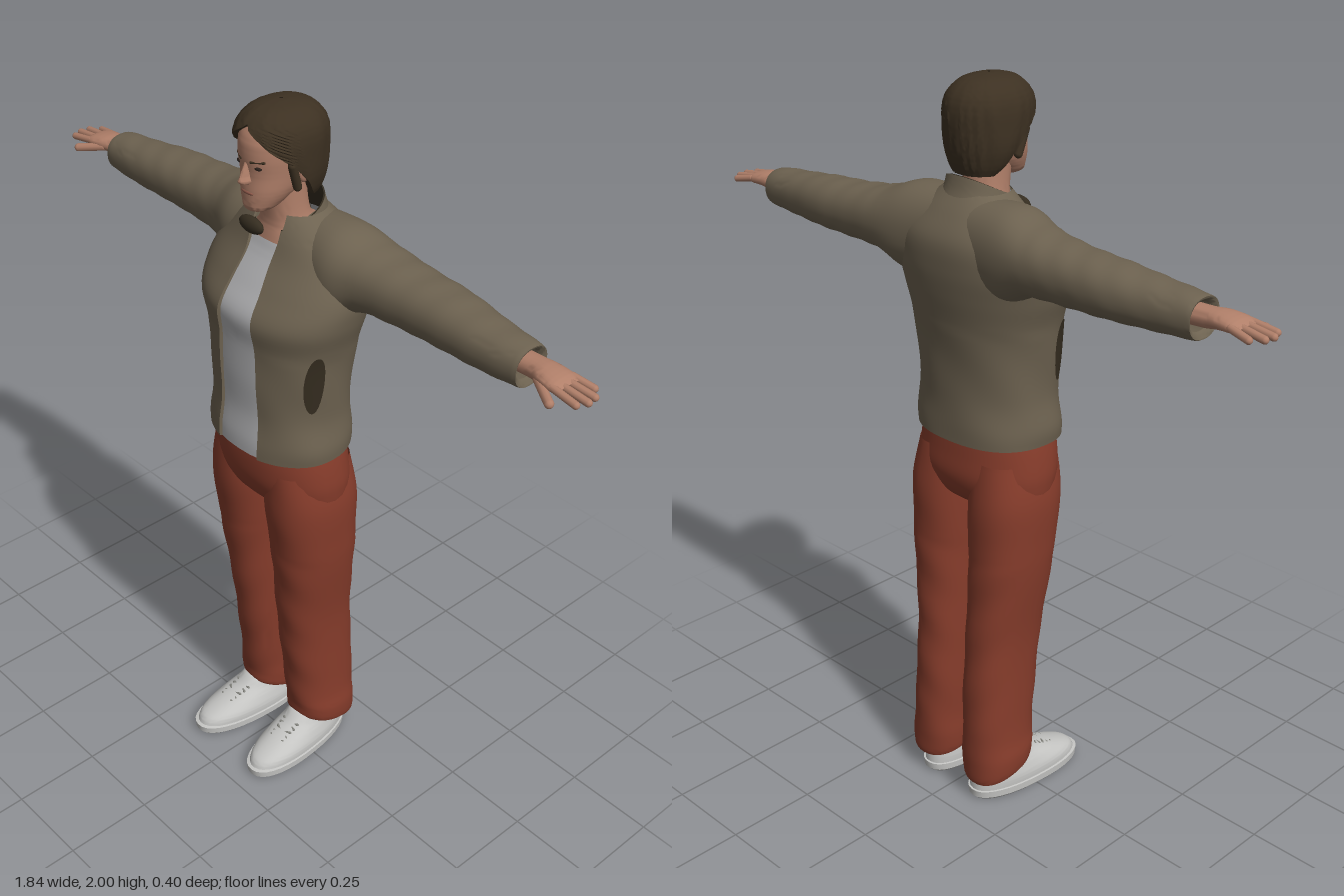
import * as THREE from 'three';
import { toCreasedNormals } from 'three/addons/utils/BufferGeometryUtils.js';

const mat = (name, color, double) => {
  const m = new THREE.MeshStandardMaterial({ color });
  m.name = name;
  if (double) m.side = THREE.DoubleSide;
  return m;
};

// Smooth sample of a key table at t; a key is [y, cx, cz, rx, rz, open, slant]
function sample(keys, t) {
  const last = keys.length - 1;
  const i = Math.min(Math.floor(t), last - 1), f = t - i;
  const k = n => keys[Math.max(0, Math.min(last, n))];
  return [0, 1, 2, 3, 4, 5, 6].map(c => {
    const [a, b, d, e] = [k(i - 1), k(i), k(i + 1), k(i + 2)].map(q => q[c] || 0);
    return b + 0.5 * f * (d - a + f * (2 * a - 5 * b + 4 * d - e + f * (3 * (b - d) + e - a)));
  });
}

// Point on the section; angle 0 is the front, rising towards +x
function onSection(s, a, scale = 1, p = 0.88) {
  const pw = v => Math.sign(v) * Math.abs(v) ** p;
  return [s[1] + s[3] * scale * pw(Math.sin(a)), s[0] + s[6] * Math.cos(a), s[2] + s[4] * scale * pw(Math.cos(a))];
}

// Skin through stacked sections; open ones leave a gap at the front with a turned-in edge
function loft(keys, { n = 36, steps = 6, p = 0.88, scale = 1, lip = 0.94, ripple = () => 0, crease = 0.9 } = {}) {
  const open = keys.some(k => k[5]), rows = (keys.length - 1) * steps, pos = [], idx = [];
  const cols = open ? n + 1 : n;
  for (let i = 0; i <= rows; i++) {
    const s = sample(keys, i / steps), o = Math.max(0, s[5]);
    for (let j = 0; j < cols; j++) {
      const jj = open ? (Math.max(1, Math.min(n - 1, j)) - 1) / (n - 2) : j / n;
      const a = o + (2 * Math.PI - 2 * o) * jj;
      const edge = open && (j === 0 || j === n) ? lip : 1;
      pos.push(...onSection(s, a, scale * edge * (1 + ripple(s[0], a)), p));
    }
  }
  for (let i = 0; i < rows; i++) for (let j = 0; j < n; j++) {
    const a = i * cols + j, b = i * cols + (j + 1) % cols, c = b + cols, d = a + cols;
    idx.push(a, b, d, b, c, d);
  }
  const g = new THREE.BufferGeometry();
  g.setAttribute('position', new THREE.Float32BufferAttribute(pos, 3));
  g.setIndex(idx);
  return toCreasedNormals(g, crease);
}

// Mirror a geometry across x and restore the winding
function mirror(g) {
  const m = g.index ? g.toNonIndexed() : g.clone();
  m.scale(-1, 1, 1);
  for (const name of ['position', 'normal']) {
    const at = m.attributes[name], v = new THREE.Vector3(), w = new THREE.Vector3();
    for (let i = 0; i < at.count; i += 3) {
      v.fromBufferAttribute(at, i + 1); w.fromBufferAttribute(at, i + 2);
      at.setXYZ(i + 1, w.x, w.y, w.z); at.setXYZ(i + 2, v.x, v.y, v.z);
    }
  }
  return m;
}

// Rounded bar between two points
function bar(a, b, r) {
  const A = new THREE.Vector3(...a), B = new THREE.Vector3(...b), d = B.clone().sub(A);
  const g = new THREE.CapsuleGeometry(r, d.length(), 5, 10);
  g.applyQuaternion(new THREE.Quaternion().setFromUnitVectors(new THREE.Vector3(0, 1, 0), d.normalize()));
  return g.translate(...A.add(B).multiplyScalar(0.5).toArray());
}

const ball = (x, y, z, rx, ry, rz) => new THREE.SphereGeometry(1, 20, 14).scale(rx, ry, rz).translate(x, y, z);

export function createModel() {
  const root = new THREE.Group();
  root.name = 'standingMan';
  const jacket = mat('jacketOlive', 0x6d6250, true), lining = mat('darkLining', 0x352d20, true);
  const shirt = mat('shirtGrey', 0xb2b2b4, true), pants = mat('trouserRust', 0x863c2b, true);
  const skin = mat('skin', 0xb07f69), hair = mat('hairBrown', 0x3d3122, true);
  const shoe = mat('shoeWhite', 0xc4c4c2), lace = mat('laceGrey', 0x85857f);
  const lips = mat('lips', 0x8f5a4b), eye = mat('eyeDark', 0x2a211c);
  const add = (name, g, m) => {
    const mesh = new THREE.Mesh(g, m);
    mesh.name = name;
    root.add(mesh);
  };
  const pair = (name, g, m) => { add(name + 'Left', g, m); add(name + 'Right', mirror(g), m); };

  // Jacket body, open down the front over the shirt
  const torso = [
    [1.08, 0, -0.02, 0.202, 0.155, 0.32], [1.12, 0, -0.02, 0.204, 0.154, 0.32],
    [1.2, 0, -0.022, 0.193, 0.148, 0.32], [1.3, 0, -0.022, 0.198, 0.152, 0.3],
    [1.4, 0, -0.027, 0.21, 0.158, 0.27], [1.48, 0, -0.03, 0.232, 0.168, 0.22],
    [1.55, 0, -0.053, 0.238, 0.152, 0.19], [1.62, 0, -0.073, 0.21, 0.128, 0.18],
    [1.68, 0, -0.068, 0.15, 0.1, 0.3], [1.725, 0, -0.06, 0.09, 0.072, 0.5]];
  add('jacketBody', loft(torso, { n: 56, ripple: (y, a) => y < 1.4 ? 0.006 * Math.sin(a * 5 + y * 30) : 0 }), jacket);
  add('shirt', loft(torso.slice(0, 8).map(k => k.slice(0, 5)).concat([[1.655, 0, -0.073, 0.16, 0.112]]), { scale: 0.955 }), shirt);

  // Collar, its lining and the folded flap
  const collar = [[1.65, 0, -0.06, 0.118, 0.103, 0.3, -0.02], [1.69, 0, -0.05, 0.096, 0.086, 0.42, -0.035],
    [1.725, 0, -0.045, 0.087, 0.08, 0.55, -0.04]];
  add('collar', loft(collar, { lip: 0.96 }), jacket);
  add('collarLining', loft(collar, { scale: 0.955, lip: 0.98 }), lining);
  add('collarFlap', ball(-0.047, 1.674, 0.034, 0.042, 0.022, 0.016), lining);

  // Side pockets laid on the jacket surface
  const pocket = new THREE.RingGeometry(0.001, 1, 28, 5), pp = pocket.attributes.position;
  for (let i = 0; i < pp.count; i++) {
    const s = sample(torso, 2 + (1.325 + pp.getY(i) * 0.085 - 1.2) / 0.1);
    pp.setXYZ(i, ...onSection(s, 1.2 + pp.getX(i) * 0.17, 1.018));
  }
  pocket.computeVertexNormals();
  pair('pocket', pocket, lining);

  // Sleeves, lofted upright then laid along x
  const sleeve = [[0.06, -1.6, -0.09, 0.115, 0.09], [0.17, -1.598, -0.088, 0.118, 0.105],
    [0.26, -1.603, -0.102, 0.084, 0.093], [0.38, -1.598, -0.107, 0.072, 0.083],
    [0.5, -1.595, -0.107, 0.067, 0.078], [0.62, -1.59, -0.1, 0.059, 0.067],
    [0.725, -1.588, -0.097, 0.052, 0.055], [0.738, -1.588, -0.097, 0.046, 0.05], [0.725, -1.588, -0.097, 0.034, 0.038]];
  pair('sleeve', loft(sleeve, { ripple: (x, a) => x > 0.25 ? 0.018 * Math.sin(x * 75 + a * 2) * Math.sin(a) : 0 })
    .rotateZ(-Math.PI / 2), jacket);

  // Hands: palm, four fingers and a thumb
  const palm = [[0.68, -1.592, -0.097, 0.025, 0.032], [0.75, -1.594, -0.097, 0.024, 0.031],
    [0.79, -1.597, -0.092, 0.021, 0.039], [0.83, -1.595, -0.09, 0.016, 0.043], [0.852, -1.593, -0.09, 0.006, 0.034]];
  pair('palm', loft(palm, { n: 20 }).rotateZ(-Math.PI / 2), skin);
  [[-0.125, -0.134, 0.885], [-0.102, -0.108, 0.908], [-0.079, -0.081, 0.912], [-0.057, -0.054, 0.9]].forEach(([z0, z1, x], i) => {
    pair('finger' + (i + 1), bar([0.83, 1.596, z0], [x, 1.586, z1], 0.0095), skin);
  });
  pair('thumb', bar([0.785, 1.59, -0.065], [0.85, 1.577, -0.027], 0.0115), skin);

  // Trousers: seat and two legs with sloping hems
  add('trouserSeat', loft([[0.87, 0, -0.035, 0.1, 0.05], [0.91, 0, -0.032, 0.19, 0.105], [0.97, 0, -0.028, 0.208, 0.132],
    [1.04, 0, -0.022, 0.203, 0.135], [1.12, 0, -0.02, 0.186, 0.13]]), pants);
  const leg = [[0.11, 0.1, -0.09, 0.06, 0.07, 0, 0.02], [0.09, 0.1, -0.09, 0.079, 0.097, 0, 0.028],
    [0.14, 0.1, -0.09, 0.085, 0.102, 0, 0.015], [0.2, 0.097, -0.086, 0.081, 0.102], [0.3, 0.094, -0.08, 0.081, 0.107],
    [0.5, 0.094, -0.062, 0.083, 0.112], [0.7, 0.105, -0.047, 0.096, 0.118], [0.8, 0.106, -0.04, 0.101, 0.124],
    [0.92, 0.106, -0.032, 0.103, 0.13], [1.03, 0.1, -0.025, 0.088, 0.12]];
  pair('trouserLeg', loft(leg, { ripple: (y, a) => (y < 0.75 ? 0.02 : 0.006) * Math.sin(y * 38 + a * 2) * Math.cos(a) ** 2 }), pants);

  // Shoes with soles and laces, toes turned slightly out
  const place = g => g.rotateY(0.09).translate(0.104, 0, 0);
  pair('sole', place(loft([[0, 0, 0.01, 0.002, 0.005], [0, 0, 0.01, 0.066, 0.18], [0.008, 0, 0.01, 0.073, 0.188],
    [0.028, 0, 0.01, 0.074, 0.19], [0.03, 0, 0.01, 0.066, 0.18]], { steps: 1, crease: 0.6 })), shoe);
  pair('shoeUpper', place(loft([[0.025, 0, 0.008, 0.069, 0.183], [0.05, 0, 0.001, 0.069, 0.174], [0.075, 0, -0.026, 0.062, 0.144],
    [0.1, 0, -0.06, 0.054, 0.11], [0.13, 0, -0.085, 0.047, 0.085], [0.135, 0, -0.085, 0.005, 0.01]])), shoe);
  for (let i = 0; i < 4; i++) {
    const y = 0.078 + i * 0.012, z = 0.113 - i * 0.03, w = 0.022 + i * 0.002;
    for (const s of [-1, 1]) pair('lace' + i, place(bar([-w, y - 0.003 + s * 0.004, z - 0.013 - s * 0.008], [w, y - 0.003 - s * 0.004, z - 0.013 + s * 0.008], 0.004)), lace);
  }

  // Neck and head
  add('neck', loft([[1.62, 0, -0.07, 0.14, 0.11], [1.67, 0, -0.055, 0.085, 0.082], [1.71, 0, -0.035, 0.06, 0.058],
    [1.81, 0, -0.02, 0.055, 0.058]]), skin);
  add('head', loft([[1.742, 0, 0.05, 0.012, 0.015], [1.75, 0, 0.045, 0.034, 0.04], [1.77, 0, 0.03, 0.049, 0.058],
    [1.8, 0, 0.01, 0.063, 0.079], [1.84, 0, -0.005, 0.071, 0.092], [1.885, 0, -0.012, 0.077, 0.104],
    [1.93, 0, -0.015, 0.076, 0.102], [1.965, 0, -0.018, 0.055, 0.075], [1.985, 0, -0.02, 0.008, 0.01]], { p: 0.92 }), skin);
  add('nose', loft([[1.818, 0, 0.08, 0.008, 0.015], [1.826, 0, 0.083, 0.015, 0.029], [1.838, 0, 0.083, 0.011, 0.026],
    [1.865, 0, 0.082, 0.008, 0.014], [1.88, 0, 0.08, 0.006, 0.008]], { n: 16, p: 1 }), skin);
  add('mouth', ball(0, 1.796, 0.085, 0.021, 0.0055, 0.006), lips);
  pair('ear', ball(0.078, 1.845, -0.022, 0.012, 0.03, 0.018), skin);
  pair('eye', ball(0.03, 1.864, 0.078, 0.012, 0.0055, 0.008), eye);
  pair('eyebrow', bar([0.017, 1.878, 0.088], [0.045, 1.881, 0.073], 0.004), hair);

  // Hair parted over the forehead, long at the sides and nape
  add('hair', loft([[1.765, 0, -0.055, 0.066, 0.06, 1.75], [1.79, 0, -0.04, 0.083, 0.086, 1.62], [1.83, 0, -0.03, 0.096, 0.106, 1.45],
    [1.88, 0, -0.022, 0.1, 0.12, 1.1], [1.93, 0, -0.02, 0.098, 0.12, 0.5], [1.965, 0, -0.02, 0.083, 0.103],
    [1.99, 0, -0.02, 0.052, 0.067], [2, 0, -0.02, 0.004, 0.004]],
  { n: 72, p: 0.95, lip: 0.78, ripple: (y, a) => 0.016 * Math.sin(a * 13 + y * 25 * Math.sin(a)) }), hair);
  pair('sideLock', bar([0.084, 1.87, 0.02], [0.08, 1.81, 0.0], 0.011), hair);
  return root;
}
